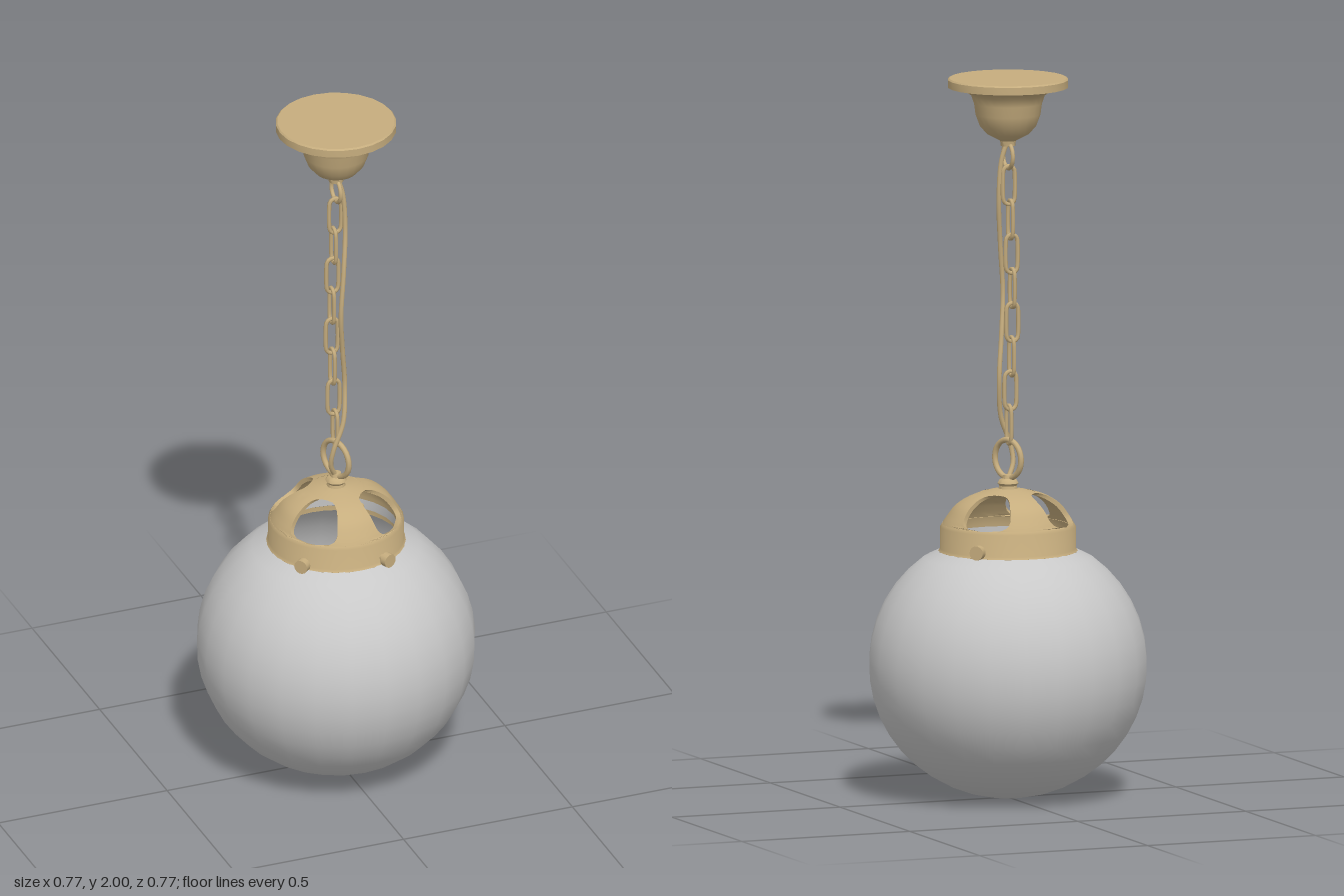
import * as THREE from 'three';
import { toCreasedNormals } from 'three/addons/utils/BufferGeometryUtils.js';

const brass = new THREE.MeshStandardMaterial({ color: 0xc6ad7e, side: THREE.DoubleSide });
brass.name = 'brass';
const glass = new THREE.MeshStandardMaterial({ color: 0xc8c8c8, side: THREE.DoubleSide });
glass.name = 'opal glass';

const DEG = Math.PI / 180;

function mesh(name, geometry, material = brass) {
  const m = new THREE.Mesh(geometry, material);
  m.name = name;
  return m;
}

// Turned part; profile runs from bottom to top as [radius, height]
function turned(name, profile, material, segments = 24) {
  const pts = profile.map(([r, y]) => new THREE.Vector2(r, y));
  return mesh(name, toCreasedNormals(new THREE.LatheGeometry(pts, segments), 0.7), material);
}

// Curved dome rib between two windows, with rounded window corners
const domeCurve = new THREE.SplineCurve([
  [0.182, 0.762], [0.168, 0.785], [0.145, 0.815], [0.11, 0.838], [0.075, 0.85],
].map(([r, y]) => new THREE.Vector2(r, y)));

function ribGeometry() {
  const across = 8, rows = 14, thickness = 0.012;
  const positions = [], index = [], ring = 2 * (across + 1);
  for (let j = 0; j <= rows; j++) {
    const t = j / rows, p = domeCurve.getPoint(t);
    const round = Math.pow(1 - Math.pow(Math.abs(2 * t - 1), 4), 0.5);
    const half = (45 - 25 * round) * DEG;
    for (let k = 0; k < ring; k++) {
      const inner = k > across;
      const u = inner ? 1 - (k - across - 1) / across : k / across;
      const a = (2 * u - 1) * half;
      const r = p.x - (inner ? thickness : 0), y = p.y - (inner ? 0.006 : 0);
      positions.push(r * Math.sin(a), y, r * Math.cos(a));
    }
  }
  for (let j = 0; j < rows; j++) {
    for (let k = 0; k < ring; k++) {
      const a = j * ring + k, b = j * ring + (k + 1) % ring;
      index.push(a, b, a + ring, b, b + ring, a + ring);
    }
  }
  const g = new THREE.BufferGeometry();
  g.setAttribute('position', new THREE.Float32BufferAttribute(positions, 3));
  g.setIndex(index);
  return toCreasedNormals(g, 0.7);
}

// Oval chain link lying in the xy plane
function linkGeometry(length, width, wire) {
  const w = width / 2 - wire, h = length / 2 - wire, s = h - w;
  const pts = [];
  for (let i = 0; i <= 6; i++) {
    const a = i * 30 * DEG;
    pts.push(new THREE.Vector3(w * Math.cos(a), s + w * Math.sin(a), 0));
  }
  for (let i = 6; i <= 12; i++) {
    const a = i * 30 * DEG;
    pts.push(new THREE.Vector3(w * Math.cos(a), -s + w * Math.sin(a), 0));
  }
  return new THREE.TubeGeometry(new THREE.CatmullRomCurve3(pts, true), 32, wire, 6, true);
}

export function createModel() {
  const model = new THREE.Group();
  model.name = 'pendantLamp';

  // Glass globe with an open neck
  const globe = [];
  for (let i = 0; i <= 17; i++) {
    const a = (-90 + i * 8.4) * DEG;
    globe.push([Math.max(0, 0.385 * Math.cos(a)), 0.373 + 0.371 * Math.sin(a)]);
  }
  globe.push([0.188, 0.69], [0.172, 0.7], [0.17, 0.73]);
  model.add(turned('globe', globe, glass));

  // Fitter collar
  model.add(turned('fitterCollar', [
    [0.176, 0.735], [0.178, 0.682], [0.19, 0.678], [0.192, 0.688], [0.187, 0.695],
    [0.187, 0.755], [0.182, 0.763], [0.168, 0.757], [0.176, 0.735],
  ], brass, 32));

  // Domed top: four ribs, four windows
  const dome = new THREE.Group();
  dome.name = 'fitterDome';
  const rib = ribGeometry();
  for (let i = 0; i < 4; i++) {
    const m = mesh('domeRib', rib);
    m.rotation.y = i * 90 * DEG;
    dome.add(m);
  }
  dome.add(turned('domeCap', [
    [0, 0.842], [0.063, 0.843], [0.076, 0.849], [0.05, 0.856], [0.026, 0.86],
    [0.024, 0.868], [0.029, 0.875], [0.024, 0.884], [0.016, 0.888], [0.014, 0.898], [0, 0.9],
  ]));
  model.add(dome);

  // Thumbscrews holding the glass
  for (const angle of [-44, 69, 138]) {
    const screw = new THREE.Group();
    screw.name = 'thumbscrew';
    const shaft = mesh('screwShaft', new THREE.CylinderGeometry(0.009, 0.009, 0.05, 10));
    shaft.position.x = 0.185;
    const head = mesh('screwHead', new THREE.CylinderGeometry(0.02, 0.02, 0.02, 14));
    head.position.x = 0.21;
    shaft.rotation.z = head.rotation.z = Math.PI / 2;
    screw.add(shaft, head);
    screw.position.y = 0.708;
    screw.rotation.y = -angle * DEG;
    model.add(screw);
  }

  // Suspension rings
  const lowerRing = mesh('lowerRing', new THREE.TorusGeometry(0.053, 0.008, 8, 28));
  lowerRing.position.y = 0.942;
  lowerRing.rotation.y = 110 * DEG;
  const upperRing = mesh('upperRing', new THREE.TorusGeometry(0.035, 0.006, 8, 24));
  upperRing.position.y = 1.784;
  upperRing.rotation.y = 90 * DEG;
  model.add(lowerRing, upperRing);

  // Chain
  const chain = new THREE.Group();
  chain.name = 'chain';
  const count = 8, length = 0.119, wire = 0.006;
  const link = linkGeometry(length, 0.046, wire);
  for (let i = 0; i < count; i++) {
    const m = mesh('chainLink', link);
    const sag = Math.sin(Math.PI * (i + 0.5) / count);
    m.position.set(-0.008 * sag, 1.762 - length / 2 - i * (length - 4 * wire), -0.012 * sag);
    m.rotation.y = (i % 2 ? 90 : 0) * DEG;
    chain.add(m);
  }
  model.add(chain);

  // Cord winding along the chain
  const cord = new THREE.CatmullRomCurve3([
    [0, 1.83, 0], [0.018, 1.77, 0.004], [0.024, 1.66, 0.008], [0.012, 1.53, 0.026],
    [0.002, 1.4, 0.032], [0.014, 1.28, 0.014], [0.025, 1.17, 0.002], [0.014, 1.06, 0.018],
    [-0.015, 0.98, 0.02], [-0.02, 0.93, 0.012], [0, 0.885, 0],
  ].map((p) => new THREE.Vector3(...p)));
  model.add(mesh('cord', new THREE.TubeGeometry(cord, 80, 0.007, 8)));

  // Ceiling canopy
  model.add(turned('canopy', [
    [0, 1.812], [0.02, 1.812], [0.022, 1.826], [0.032, 1.832], [0.058, 1.845], [0.078, 1.868],
    [0.09, 1.9], [0.094, 1.93], [0.102, 1.953], [0.12, 1.966], [0.15, 1.972], [0.166, 1.975],
    [0.166, 1.996], [0.162, 2], [0, 2],
  ]));

  return model;
}
